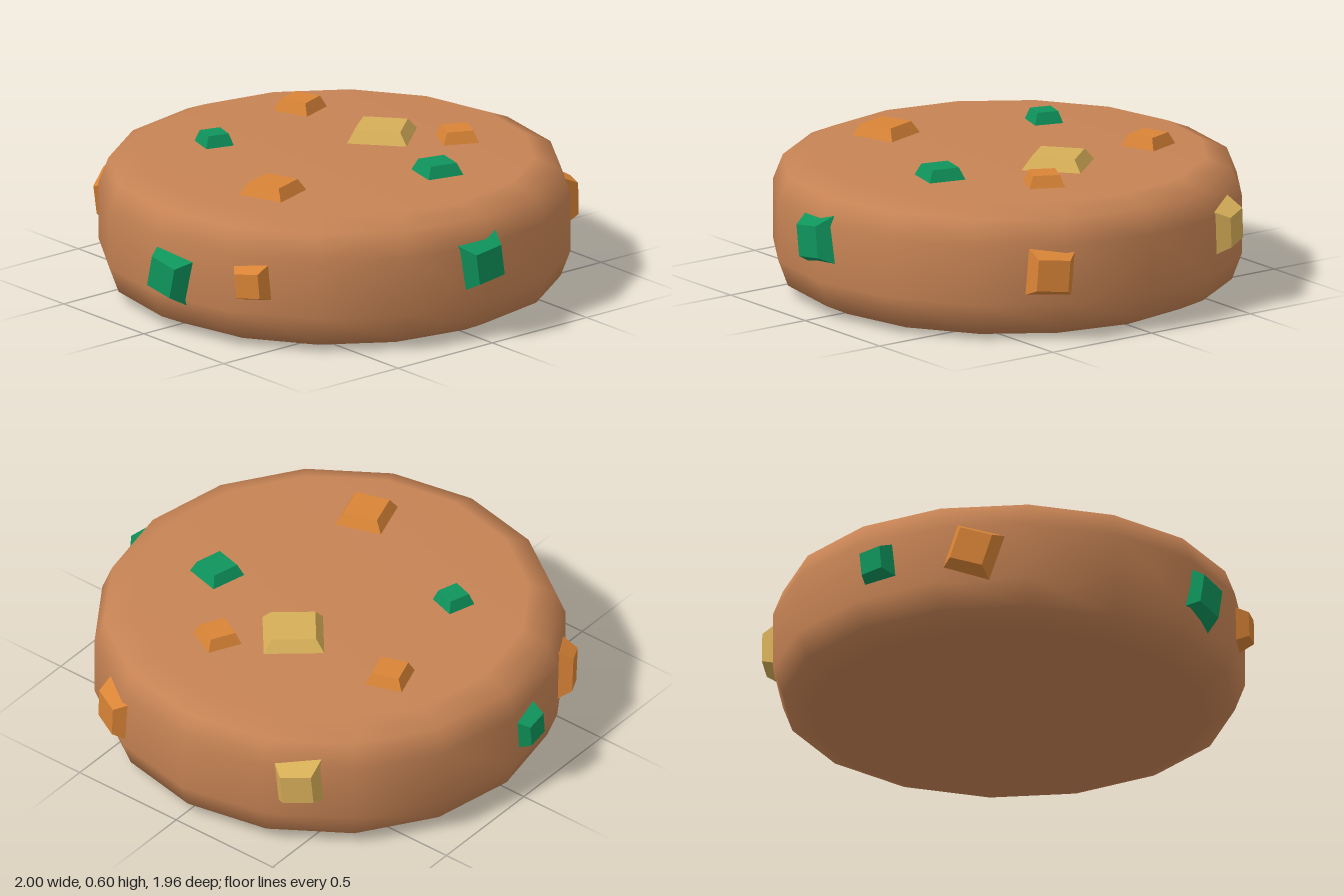
import * as THREE from 'three';

const mat = (name, color) => Object.assign(new THREE.MeshStandardMaterial({ color }), { name });
const DEG = Math.PI / 180;
const CX = -0.01, CZ = -0.02; // centre of the biscuit

// Square chunk tapering from its buried base (y = 0) to its small flat top (y = 0.08)
function chipGeometry(size, spin) {
  const g = new THREE.BoxGeometry(size * 1.15, 0.08, size * 1.15);
  g.translate(0, 0.04, 0);
  const p = g.attributes.position;
  for (let i = 0; i < p.count; i++) {
    if (p.getY(i) > 0.04) {
      p.setX(i, p.getX(i) * 0.63);
      p.setZ(i, p.getZ(i) * 0.63);
    }
  }
  g.computeVertexNormals();
  g.rotateY(spin * DEG);
  return g;
}

export function createModel() {
  const model = new THREE.Group();
  model.name = 'cookie';
  const dough = mat('dough brown', 0xc68354);
  const orange = mat('candy orange', 0xd98436);
  const green = mat('candy green', 0x0f945c);
  const gold = mat('candy gold', 0xd6ae58);

  // Round biscuit with softened rims
  const profile = [[0, 0], [0.81, 0], [0.917, 0.05], [0.958, 0.16], [0.958, 0.4],
    [0.917, 0.505], [0.81, 0.55], [0, 0.55]].map(([x, y]) => new THREE.Vector2(x, y));
  const body = new THREE.Mesh(new THREE.LatheGeometry(profile, 16), dough);
  body.name = 'biscuit';
  body.position.set(CX, 0, CZ);
  model.add(body);

  // Chips on the top: material, x, z, size, spin in degrees
  const topChips = [
    [gold, -0.05, -0.305, 0.25, -50],
    [orange, 0.176, -0.513, 0.15, -27],
    [orange, -0.529, -0.278, 0.16, 19],
    [green, 0.449, -0.176, 0.16, -14],
    [green, -0.417, 0.273, 0.123, -17],
    [orange, 0.214, 0.497, 0.2, 18],
  ];
  topChips.forEach(([m, x, z, size, spin], i) => {
    const chip = new THREE.Mesh(chipGeometry(size, spin), m);
    chip.name = `topChip${i + 1}`;
    chip.position.set(x, 0.518, z);
    model.add(chip);
  });

  // Chips around the rim: material, direction x and z, height, size, roll in degrees
  const sideChips = [
    [green, 0.075, 0.95, 0.255, 0.18, -12],
    [orange, 0.46, 0.83, 0.29, 0.14, 5],
    [orange, -0.82, 0.47, 0.285, 0.19, -18],
    [green, 0.97, 0, 0.33, 0.18, 8],
    [orange, 0.42, -0.89, 0.29, 0.18, -4],
    [gold, -0.51, -0.85, 0.33, 0.175, 5],
    [green, -0.97, 0.08, 0.295, 0.135, 6],
  ];
  sideChips.forEach(([m, x, z, y, size, roll], i) => {
    const a = Math.atan2(x - CX, z - CZ);
    const chip = new THREE.Mesh(chipGeometry(size, roll), m);
    chip.name = `sideChip${i + 1}`;
    chip.rotation.set(Math.PI / 2, a, 0, 'YXZ');
    chip.position.set(CX + 0.92 * Math.sin(a), y, CZ + 0.92 * Math.cos(a));
    model.add(chip);
  });

  return model;
}
